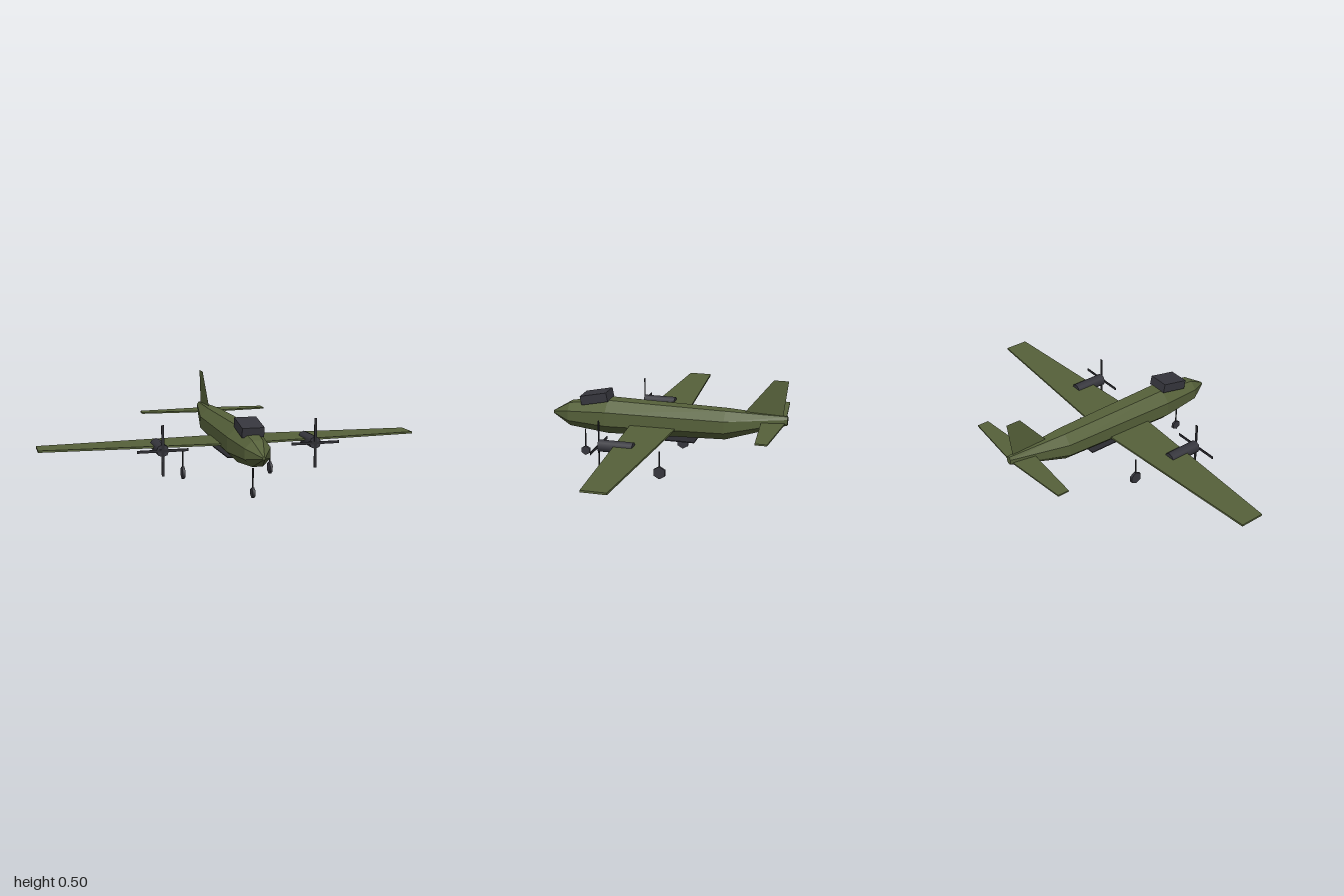
import * as THREE from 'three';

const olive = new THREE.MeshStandardMaterial({ color: 0x56613a, side: THREE.DoubleSide });
olive.name = 'olive paint';
const charcoal = new THREE.MeshStandardMaterial({ color: 0x36363d });
charcoal.name = 'charcoal';
const darkMetal = new THREE.MeshStandardMaterial({ color: 0x2b2b30 });
darkMetal.name = 'dark metal';

function add(parent, name, geometry, material, x = 0, y = 0, z = 0) {
  const mesh = new THREE.Mesh(geometry, material);
  mesh.name = name;
  mesh.position.set(x, y, z);
  parent.add(mesh);
  return mesh;
}

// Flat-faceted octagonal loft; stations are [z, centre y, half width, half height], nose first
function fuselageGeometry(stations) {
  const N = 8, pos = [], k = 1 / Math.cos(Math.PI / N);
  const point = ([z, y, w, h], i) => {
    const a = ((i + 0.5) / N) * Math.PI * 2;
    return [Math.cos(a) * w * k, y + Math.sin(a) * h * k, z];
  };
  for (let s = 0; s < stations.length - 1; s++) {
    for (let i = 0; i < N; i++) {
      const a = point(stations[s], i), b = point(stations[s], i + 1);
      const c = point(stations[s + 1], i), d = point(stations[s + 1], i + 1);
      pos.push(...a, ...d, ...c, ...a, ...b, ...d);
    }
  }
  // End caps
  const first = stations[0], last = stations[stations.length - 1];
  for (let i = 0; i < N; i++) {
    pos.push(0, first[1], first[0], ...point(first, i), ...point(first, i + 1));
    pos.push(0, last[1], last[0], ...point(last, i + 1), ...point(last, i));
  }
  const geometry = new THREE.BufferGeometry();
  geometry.setAttribute('position', new THREE.Float32BufferAttribute(pos, 3));
  geometry.computeVertexNormals();
  return geometry;
}

// Thin tapered surface spanning both sides
function planformGeometry(span, rootFront, rootBack, tipFront, tipBack, thickness) {
  const shape = new THREE.Shape([
    [0, rootBack], [span, tipBack], [span, tipFront],
    [0, rootFront], [-span, tipFront], [-span, tipBack],
  ].map(([x, z]) => new THREE.Vector2(x, z)));
  return new THREE.ExtrudeGeometry(shape, { depth: thickness, bevelEnabled: false })
    .rotateX(Math.PI / 2).translate(0, thickness / 2, 0);
}

function landingGear(parent, name, x, z, radius) {
  const gear = new THREE.Group();
  gear.name = name;
  gear.position.set(x, 0, z);
  parent.add(gear);
  const hub = radius + 0.003;
  add(gear, 'strut', new THREE.CylinderGeometry(0.004, 0.004, 0.152 - hub, 6), darkMetal, 0, (0.152 + hub) / 2, 0);
  const wheel = new THREE.CylinderGeometry(radius, radius, 0.014, 6)
    .rotateZ(Math.PI / 2).rotateX(Math.PI / 6);
  add(gear, 'wheel', wheel, charcoal, 0, hub, 0);
}

export function createModel() {
  const plane = new THREE.Group();
  plane.name = 'twin engine aircraft';

  add(plane, 'fuselage', fuselageGeometry([
    [0.638, 0.236, 0.008, 0.008],
    [0.537, 0.239, 0.064, 0.064],
    [0.318, 0.245, 0.091, 0.091],
    [-0.318, 0.2505, 0.074, 0.0765],
    [-0.637, 0.293, 0.016, 0.023],
  ]), olive);

  add(plane, 'wing', planformGeometry(1, 0.187, -0.067, 0.124, -0.002, 0.01), olive, 0, 0.219, 0);
  add(plane, 'tailplane', planformGeometry(0.36, -0.502, -0.626, -0.533, -0.594, 0.008), olive, 0, 0.279, 0);

  // Fin: single thin sheet on the centre line
  const finShape = new THREE.Shape([
    [0.41, 0.315], [0.56, 0.502], [0.636, 0.502], [0.611, 0.3],
  ].map(([z, y]) => new THREE.Vector2(z, y)));
  add(plane, 'tailFin', new THREE.ShapeGeometry(finShape).rotateY(Math.PI / 2), olive);

  // Tilted cockpit block and belly panel
  const cockpit = add(plane, 'cockpit', new THREE.BoxGeometry(0.112, 0.049, 0.15), charcoal, 0, 0.342, 0.39);
  cockpit.rotation.x = 0.205;
  add(plane, 'bellyPanel', new THREE.BoxGeometry(0.09, 0.005, 0.316), darkMetal, 0, 0.144, 0.001);

  for (const side of [1, -1]) {
    const engine = new THREE.Group();
    engine.name = side > 0 ? 'leftEngine' : 'rightEngine';
    engine.position.set(side * 0.4, 0.215, 0);
    plane.add(engine);
    const nacelle = new THREE.CylinderGeometry(0.032, 0.032, 0.178, 8).rotateX(Math.PI / 2);
    add(engine, 'nacelle', nacelle, charcoal, 0, 0, 0.153);
    add(engine, 'verticalBlades', new THREE.BoxGeometry(0.014, 0.258, 0.004), darkMetal, 0, 0, 0.243);
    add(engine, 'horizontalBlades', new THREE.BoxGeometry(0.258, 0.014, 0.004), darkMetal, 0, 0, 0.243);
    landingGear(plane, side > 0 ? 'leftMainGear' : 'rightMainGear', side * 0.24, -0.024, 0.034);
  }
  landingGear(plane, 'noseGear', 0, 0.461, 0.026);
  return plane;
}
